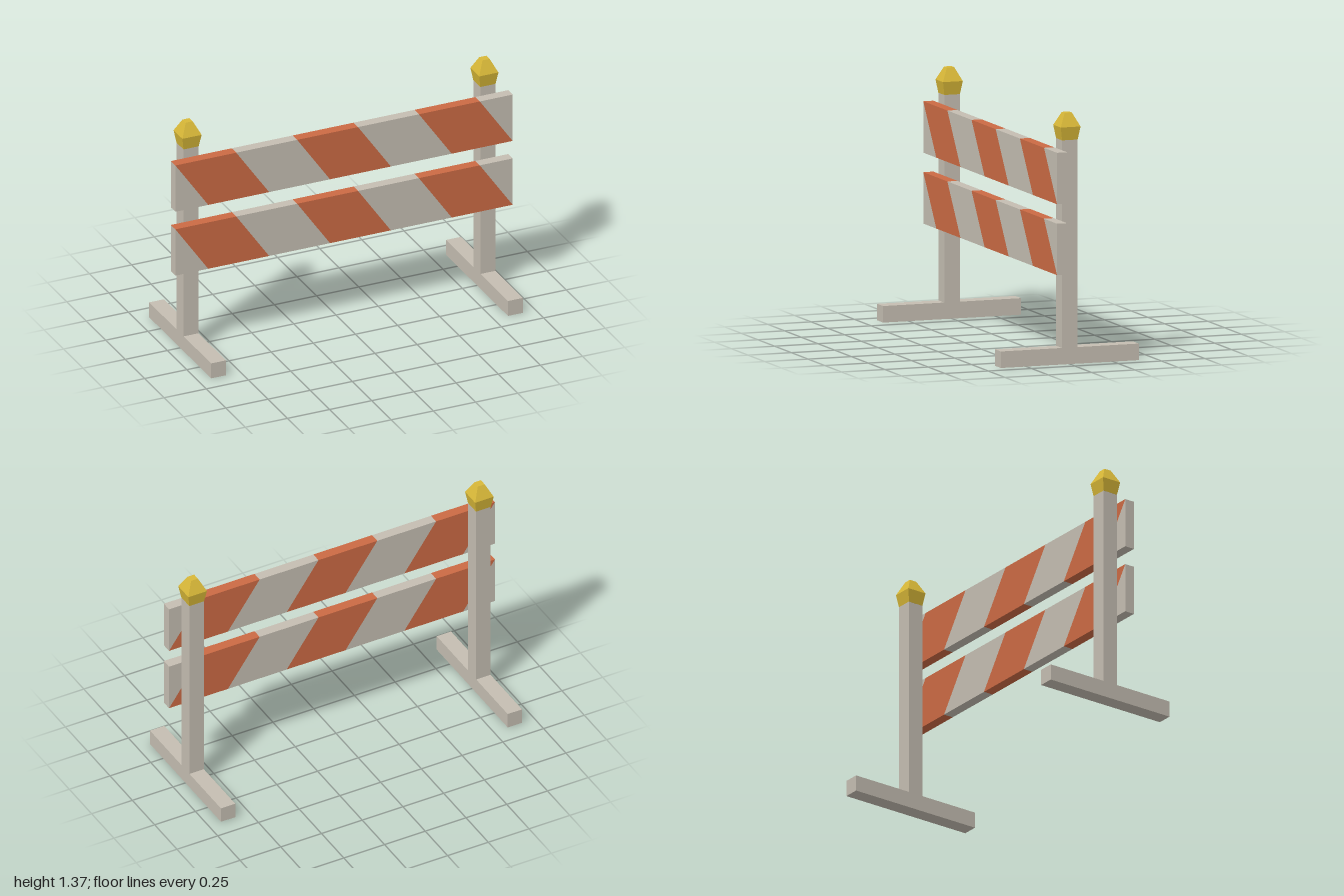
import * as THREE from 'three';

const paint = (name, color) => {
  const m = new THREE.MeshStandardMaterial({ color });
  m.name = name;
  return m;
};

export function createModel() {
  const grey = paint('warm grey', 0xc4bdb1);
  const orange = paint('orange', 0xcb6a44);
  const yellow = paint('yellow', 0xd8b838);

  const model = new THREE.Group();
  model.name = 'barricade';

  const add = (parent, name, geometry, material, x = 0, y = 0, z = 0) => {
    const mesh = new THREE.Mesh(geometry, material);
    mesh.name = name;
    mesh.position.set(x, y, z);
    parent.add(mesh);
  };

  // Square frustum with flat sides, given its half widths
  const frustum = (top, bottom, height) => {
    const g = new THREE.CylinderGeometry(top * Math.SQRT2, bottom * Math.SQRT2, height, 4)
      .rotateY(Math.PI / 4).toNonIndexed();
    g.computeVertexNormals();
    return g;
  };

  // Two stands: foot, post and faceted cap
  for (const side of [-1, 1]) {
    const stand = new THREE.Group();
    stand.name = side > 0 ? 'leftStand' : 'rightStand';
    stand.position.x = side * 0.88;
    add(stand, 'foot', new THREE.BoxGeometry(0.088, 0.09, 0.796), grey, 0, 0.045);
    add(stand, 'post', new THREE.BoxGeometry(0.088, 1.13, 0.09), grey, 0, 0.655);
    add(stand, 'capBase', frustum(0.057, 0.045, 0.072), yellow, 0, 1.256);
    add(stand, 'capTop', frustum(0.021, 0.057, 0.073), yellow, 0, 1.3285);
    model.add(stand);
  }

  // Two boards, each cut into slanted stripes running right through
  const height = 0.28, depth = 0.058, slant = 0.195, pitch = 0.361;
  const clamp = (x) => Math.min(1, Math.max(-1, x));
  for (const [name, y] of [['lowerBoard', 0.5], ['upperBoard', 0.886]]) {
    const board = new THREE.Group();
    board.name = name;
    board.position.set(0, y, 0.045);
    for (let i = -1; i < 6; i++) {
      const top = -1 + i * pitch;
      const bottom = top + slant;
      const corners = [
        [clamp(bottom), 0], [clamp(bottom + pitch), 0],
        [clamp(top + pitch), height], [clamp(top), height],
      ].map(([px, py]) => new THREE.Vector2(px, py));
      // Drop the doubled corner of the end triangles
      const outline = corners.filter((p, k) => p.distanceTo(corners[(k + 1) % 4]) > 0.01);
      if (outline.length < 3) continue;
      const geometry = new THREE.ExtrudeGeometry(new THREE.Shape(outline), { depth, bevelEnabled: false });
      const isOrange = i % 2 === 0;
      add(board, isOrange ? 'orangeStripe' : 'greyStripe', geometry, isOrange ? orange : grey);
    }
    model.add(board);
  }

  return model;
}
